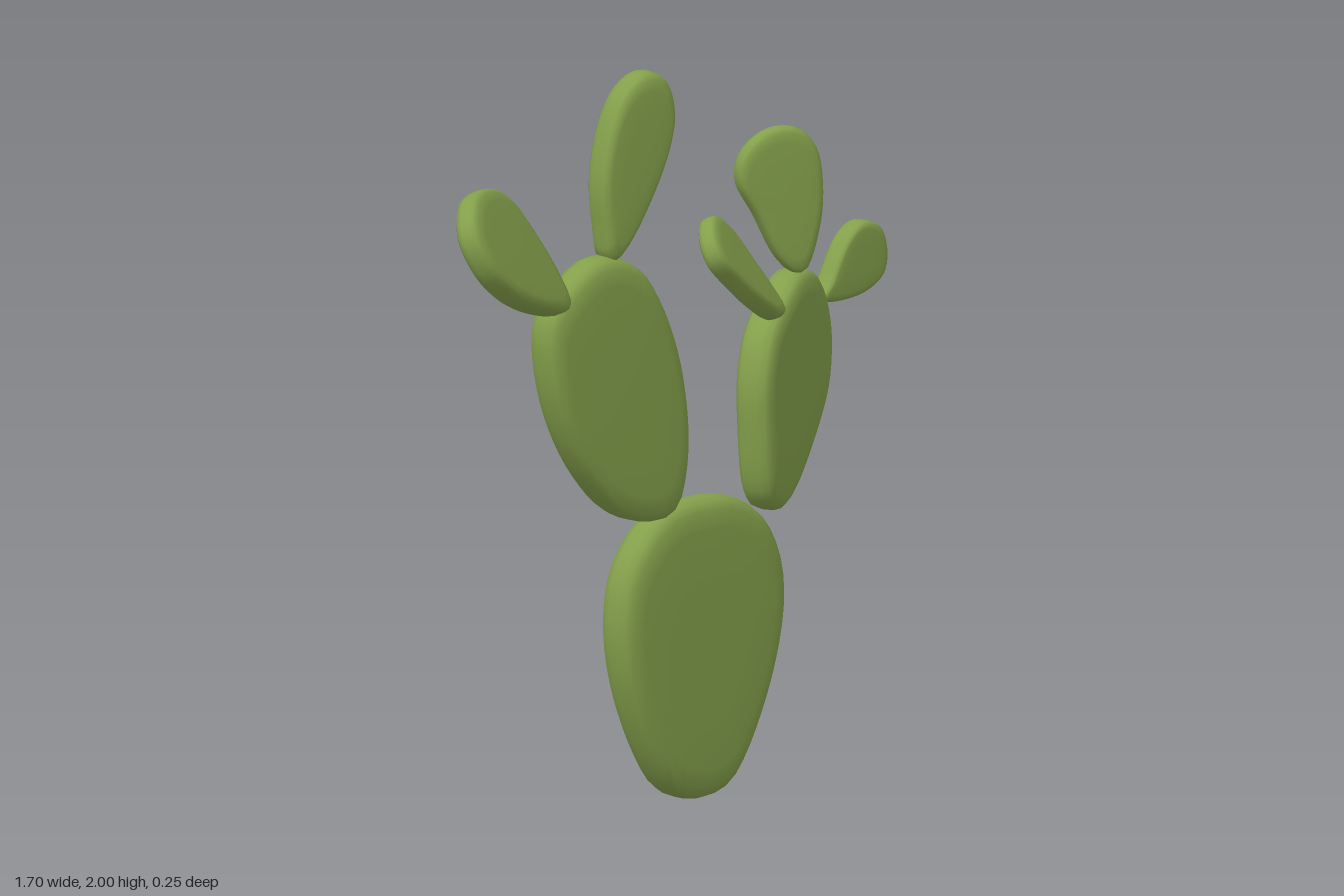
import * as THREE from 'three';

const SEGMENTS = 48;
// Half of the pad's cross-section: [scale of outline, share of half thickness]
const HALF = [[0.45, 1], [0.8, 0.99], [0.92, 0.9], [0.98, 0.66], [1, 0.28]];
const RINGS = [...HALF, ...HALF.map(([s, d]) => [s, -d]).reverse()];

// Flat, round-edged pad: front outline (counter-clockwise x, y pairs) lying on
// the plane z = z0 + slopeX * (x - cx) + slopeY * (y - cy), thickened along its normal.
function padGeometry(outline, { z, slopeX = 0, slopeY = 0, thickness }) {
  const points = [];
  for (let i = 0; i < outline.length; i += 2) points.push(new THREE.Vector3(outline[i], outline[i + 1], 0));
  const rim = new THREE.CatmullRomCurve3(points, true, 'centripetal').getSpacedPoints(SEGMENTS).slice(0, SEGMENTS);

  const box = new THREE.Box3().setFromPoints(rim);
  const centre = box.getCenter(new THREE.Vector3()).setZ(z);
  for (const p of rim) p.z = z + slopeX * (p.x - centre.x) + slopeY * (p.y - centre.y);
  const normal = new THREE.Vector3(-slopeX, -slopeY, 1).normalize();

  const positions = [];
  const index = [];
  const add = (p, depth) => positions.push(...p.clone().addScaledVector(normal, depth * thickness / 2).toArray());
  for (const [scale, depth] of RINGS) {
    for (const p of rim) add(centre.clone().lerp(p, scale), depth);
  }
  const front = RINGS.length * SEGMENTS;
  const back = front + 1;
  add(centre, 1);
  add(centre, -1);

  const last = (RINGS.length - 1) * SEGMENTS;
  for (let i = 0; i < SEGMENTS; i++) {
    const j = (i + 1) % SEGMENTS;
    index.push(front, i, j, back, last + j, last + i);
    for (let r = 0; r < last; r += SEGMENTS) {
      const a = r + i, b = r + j, c = a + SEGMENTS, d = b + SEGMENTS;
      index.push(a, c, d, a, d, b);
    }
  }
  const geometry = new THREE.BufferGeometry();
  geometry.setAttribute('position', new THREE.Float32BufferAttribute(positions, 3));
  geometry.setIndex(index);
  geometry.computeVertexNormals();
  return geometry;
}

export function createModel() {
  const cactus = new THREE.Group();
  cactus.name = 'cactus';
  const green = new THREE.MeshStandardMaterial({ color: 0x84a04b });

  function addPad(name, outline, options) {
    const mesh = new THREE.Mesh(padGeometry(outline, options), green);
    mesh.name = name;
    cactus.add(mesh);
  }

  // Trunk pad standing on the ground
  addPad('trunkPad', [
    0.1, 0, 0.2, 0.02, 0.27, 0.09, 0.38, 0.31, 0.42, 0.5, 0.4, 0.63, 0.33, 0.74, 0.22, 0.8,
    0.11, 0.81, -0.02, 0.8, -0.12, 0.73, -0.18, 0.64, -0.2, 0.5, -0.17, 0.33, -0.08, 0.13, 0, 0.03,
  ], { z: -0.04, thickness: 0.125 });

  // Right branch: large pad with two leaves
  addPad('rightBranchPad', [
    -0.05, 0.78, 0, 0.81, 0.03, 0.9, 0.035, 1.03, 0, 1.22, -0.07, 1.38, -0.15, 1.48, -0.28, 1.52,
    -0.4, 1.46, -0.47, 1.38, -0.475, 1.27, -0.43, 1.1, -0.33, 0.93, -0.2, 0.81,
  ], { z: -0.03, slopeX: 0.04, thickness: 0.115 });
  addPad('rightOuterLeaf', [
    -0.42, 1.41, -0.44, 1.49, -0.51, 1.62, -0.59, 1.72, -0.69, 1.76, -0.79, 1.75,
    -0.85, 1.68, -0.82, 1.58, -0.72, 1.49, -0.58, 1.43, -0.44, 1.4,
  ], { z: 0, slopeX: -0.41, slopeY: -0.47, thickness: 0.075 });
  addPad('rightTopLeaf', [
    -0.23, 1.5, -0.2, 1.52, -0.11, 1.65, -0.04, 1.8, -0.025, 1.9, -0.06, 1.98,
    -0.12, 2, -0.19, 1.96, -0.24, 1.87, -0.27, 1.72, -0.26, 1.59, -0.245, 1.51,
  ], { z: -0.02, slopeX: 0.13, thickness: 0.09 });

  // Left branch: turned pad with three leaves
  addPad('leftBranchPad', [
    0.33, 0.75, 0.4, 0.78, 0.55, 0.93, 0.62, 1.04, 0.635, 1.18, 0.6, 1.29, 0.55, 1.35,
    0.46, 1.37, 0.36, 1.32, 0.27, 1.24, 0.23, 1.13, 0.23, 1, 0.27, 0.79,
  ], { z: -0.015, slopeX: -0.36, thickness: 0.11 });
  addPad('leftInnerLeaf', [
    0.34, 1.28, 0.33, 1.31, 0.26, 1.42, 0.18, 1.53, 0.11, 1.57,
    0.05, 1.53, 0.045, 1.48, 0.12, 1.4, 0.21, 1.33, 0.3, 1.28,
  ], { z: 0.05, slopeX: -0.53, slopeY: -0.59, thickness: 0.06 });
  addPad('leftTopLeaf', [
    0.45, 1.37, 0.48, 1.37, 0.52, 1.48, 0.53, 1.6, 0.51, 1.71, 0.46, 1.76,
    0.38, 1.76, 0.31, 1.7, 0.3, 1.63, 0.35, 1.53, 0.41, 1.41,
  ], { z: -0.02, slopeX: 0.38, thickness: 0.06 });
  addPad('leftOuterLeaf', [
    0.6, 1.26, 0.75, 1.26, 0.83, 1.3, 0.845, 1.36, 0.82, 1.43, 0.75, 1.455, 0.69, 1.42, 0.62, 1.31, 0.595, 1.27,
  ], { z: -0.052, thickness: 0.065 });

  return cactus;
}
